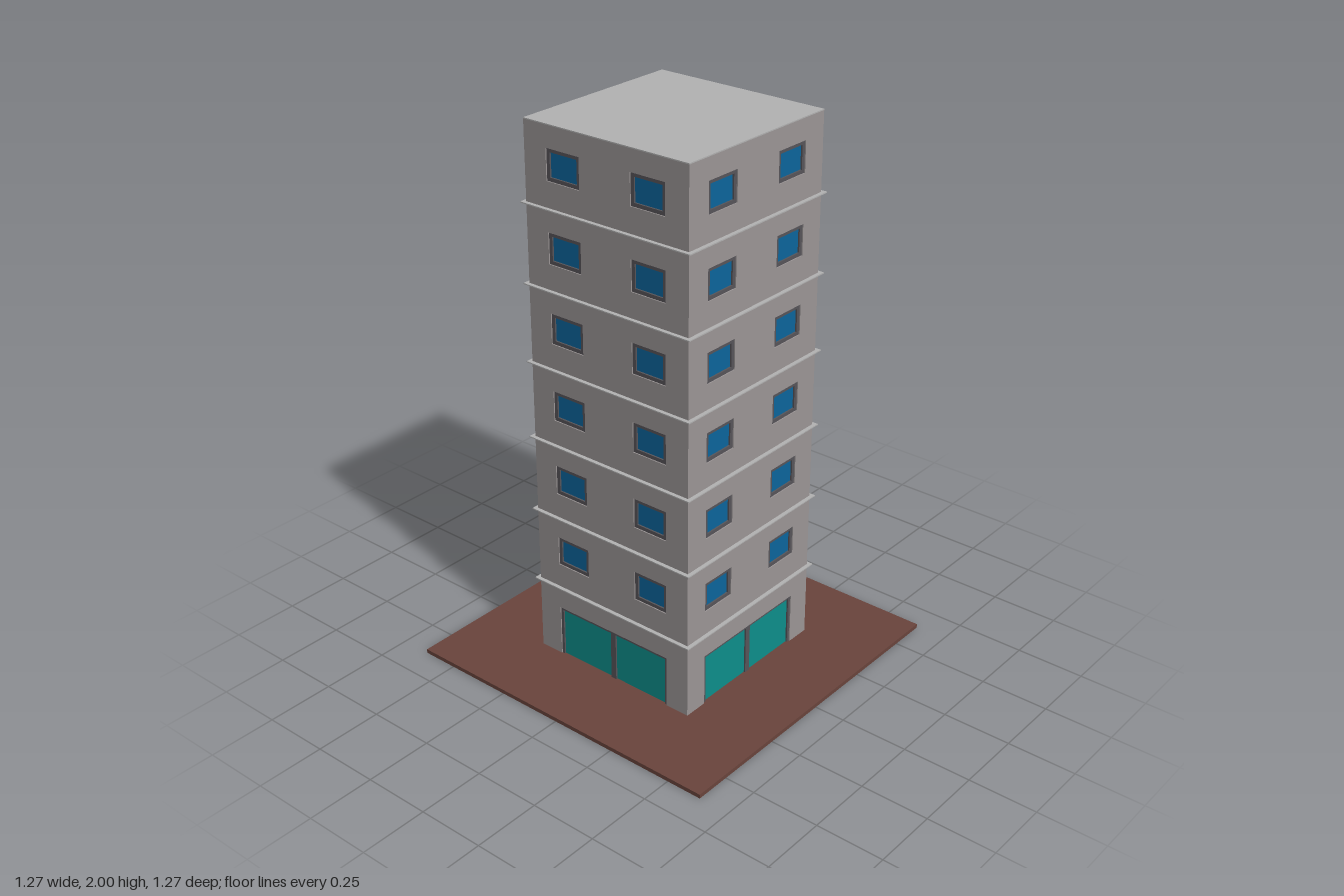
import * as THREE from 'three';

const W = 0.338;       // half width of the tower
const T = 0.03;        // wall thickness
const FLOOR = 0.284;   // storey height
const BASE = 0.015;    // top of the ground slab
const ROOF = 0.004;    // roof and ledge thickness

const mat = (color) => new THREE.MeshStandardMaterial({ color });

// Rectangle as a path or shape, counter-clockwise
function rect(Type, x0, y0, x1, y1) {
  const p = new Type();
  p.moveTo(x0, y0);
  p.lineTo(x1, y0);
  p.lineTo(x1, y1);
  p.lineTo(x0, y1);
  p.closePath();
  return p;
}

function panel(outer, holes, depth, z) {
  const shape = rect(THREE.Shape, ...outer);
  holes.forEach((h) => shape.holes.push(rect(THREE.Path, ...h)));
  return new THREE.ExtrudeGeometry(shape, { depth, bevelEnabled: false }).translate(0, 0, z);
}

export function createModel() {
  const model = new THREE.Group();
  model.name = 'towerBlock';
  const wallMat = mat(0x9c9696);
  const frameMat = mat(0x57555a);
  const glassMat = mat(0x0c659c);
  const doorMat = mat(0x0d8f8b);
  const slabMat = mat(0xb3b3b3);
  const groundMat = mat(0x6a443c);

  const add = (parent, name, geometry, material) => {
    const mesh = new THREE.Mesh(geometry, material);
    mesh.name = name;
    parent.add(mesh);
    return mesh;
  };
  const slab = (name, half, height, y, material) =>
    add(model, name, new THREE.BoxGeometry(half * 2, height, half * 2), material).position.y = y;

  // Ground, roof and the thin ledge between storeys
  slab('ground', 0.635, BASE, BASE / 2, groundMat);
  slab('roof', W, ROOF, 2 - ROOF / 2, slabMat);
  for (let i = 0; i < 6; i++) slab('ledge', 0.352, ROOF, 0.298 + i * FLOOR, slabMat);

  // Openings of one facade: two windows on each upper storey
  const windows = [];
  for (let i = 0; i < 6; i++) {
    const y = 0.445 + i * FLOOR;
    for (const x of [-0.175, 0.175]) windows.push([x - 0.07, y - 0.055, x + 0.07, y + 0.055]);
  }
  const door = [-0.246, BASE, 0.246, 0.21];

  // Door hole is cut as a notch so the wall stays open at the ground
  const wallShape = new THREE.Shape();
  [[-W + T, BASE], [door[0], BASE], [door[0], door[3]], [door[2], door[3]],
    [door[2], BASE], [W, BASE], [W, 2 - ROOF], [-W + T, 2 - ROOF]]
    .forEach(([x, y], i) => (i ? wallShape.lineTo(x, y) : wallShape.moveTo(x, y)));
  wallShape.closePath();
  windows.forEach((w) => wallShape.holes.push(rect(THREE.Path, ...w)));
  const wallGeo = new THREE.ExtrudeGeometry(wallShape, { depth: T, bevelEnabled: false })
    .translate(0, 0, W - T);

  // The same facade on all four sides, each overlapping one corner
  ['front', 'left', 'back', 'right'].forEach((side, k) => {
    const facade = new THREE.Group();
    facade.name = side + 'Facade';
    facade.rotation.y = k * Math.PI / 2;
    model.add(facade);
    add(facade, 'wall', wallGeo, wallMat);

    // Recessed windows
    for (const w of windows) {
      const [x0, y0, x1, y1] = w;
      const inner = [x0 + 0.013, y0 + 0.013, x1 - 0.013, y1 - 0.013];
      add(facade, 'windowFrame', panel(w, [inner], 0.012, W - 0.016), frameMat);
      add(facade, 'windowGlass', panel(inner, [], 0.006, W - 0.016), glassMat);
    }

    // Double entrance door
    const leaves = [[-0.235, BASE, -0.011, 0.2], [0.011, BASE, 0.235, 0.2]];
    const frame = new THREE.Shape();
    [[-0.246, BASE], [-0.235, BASE], [-0.235, 0.2], [-0.011, 0.2], [-0.011, BASE], [0.011, BASE],
      [0.011, 0.2], [0.235, 0.2], [0.235, BASE], [0.246, BASE], [0.246, 0.21], [-0.246, 0.21]]
      .forEach(([x, y], i) => (i ? frame.lineTo(x, y) : frame.moveTo(x, y)));
    frame.closePath();
    add(facade, 'doorFrame',
      new THREE.ExtrudeGeometry(frame, { depth: 0.012, bevelEnabled: false }).translate(0, 0, W - 0.016),
      frameMat);
    leaves.forEach((l) => add(facade, 'doorLeaf', panel(l, [], 0.006, W - 0.016), doorMat));
  });

  return model;
}
